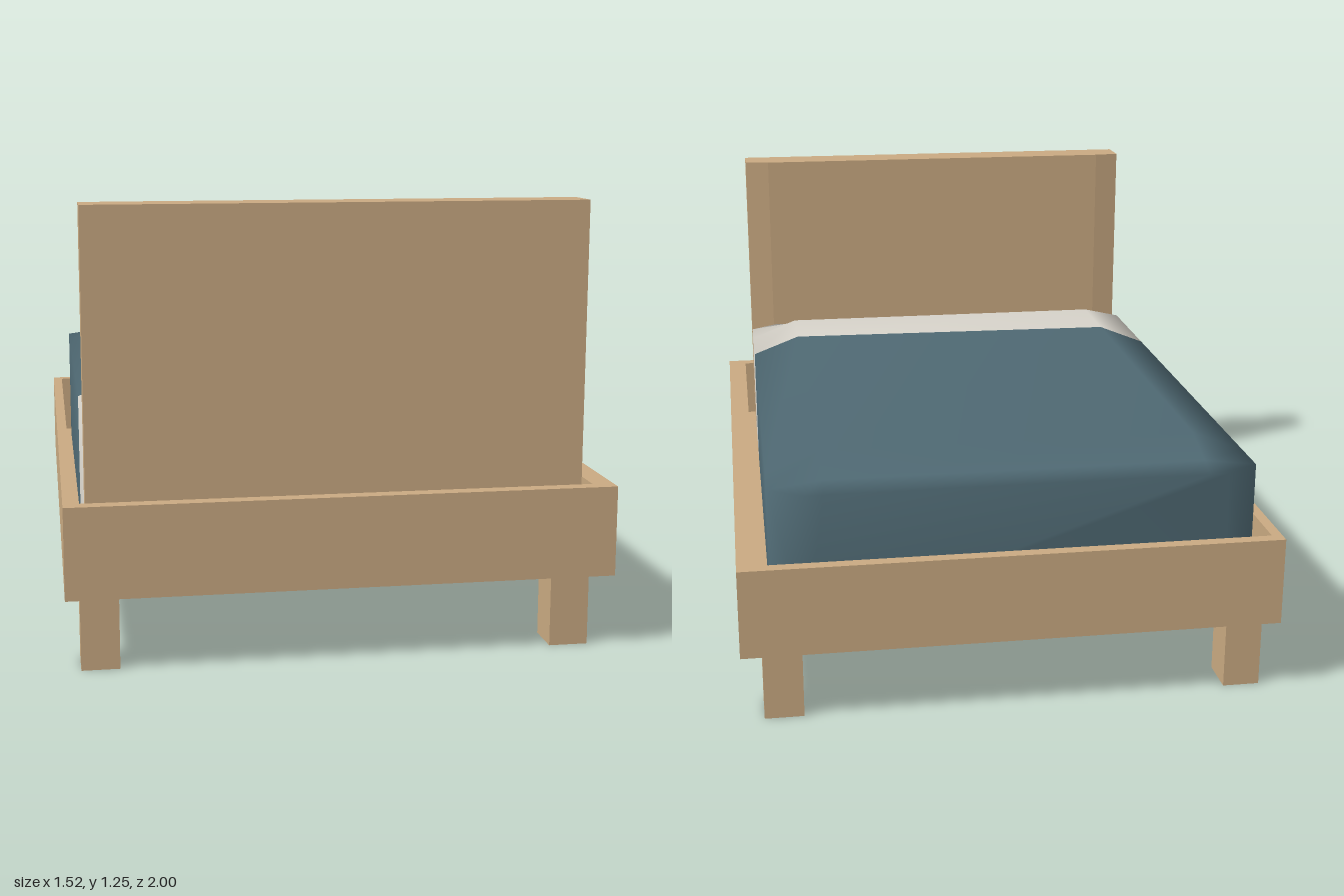
import * as THREE from 'three';

const wood = new THREE.MeshStandardMaterial({ color: 0xcaaa82 });
wood.name = 'wood';
const blanket = new THREE.MeshStandardMaterial({ color: 0x4f6973 });
blanket.name = 'blanket blue';
const sheet = new THREE.MeshStandardMaterial({ color: 0xd8d4cb });
sheet.name = 'sheet white';

// Raise a plan outline of [x, z] points from y0 to y1, with an optional hole
function plan(points, y0, y1, hole) {
  const toVec = ([x, z]) => new THREE.Vector2(x, -z);
  const shape = new THREE.Shape(points.map(toVec));
  if (hole) shape.holes.push(new THREE.Path(hole.map(toVec)));
  const geo = new THREE.ExtrudeGeometry(shape, { depth: y1 - y0, bevelEnabled: false });
  return geo.rotateX(-Math.PI / 2).translate(0, y0, 0);
}

const rect = (x0, x1, z0, z1) => [[x0, z1], [x1, z1], [x1, z0], [x0, z0]];

// Soft bedding from cross-sections along z, split at a slightly slanted seam
function beddingGeometry() {
  const cx = -0.015, shoulder = 0.535, bottom = 0.26;
  // z, half width, shoulder height
  const stations = [
    [-0.945, 0.59, 0.65], [-0.885, 0.685, 0.67], [-0.76, 0.685, 0.71],
    [0.42, 0.685, 0.71],
    [0.65, 0.685, 0.71], [0.77, 0.685, 0.67], [0.83, 0.6, 0.65],
  ];
  const seam = 3;
  const seamZ = [0.445, 0.44, 0.43, 0.4, 0.4, 0.4];
  const pos = [], index = [];
  stations.forEach(([z, w, h], i) => {
    const section = [[w, bottom], [w, 0.65], [shoulder, h], [-shoulder, h], [-w, 0.65], [-w, bottom]];
    section.forEach(([x, y], j) => pos.push(cx + x, y, i === seam ? seamZ[j] : z));
  });
  const n = 6, last = (stations.length - 1) * n;
  let split = 0;
  for (let j = 1; j < n - 1; j++) index.push(0, j + 1, j); // foot end
  for (let i = 0; i < stations.length - 1; i++) {
    if (i === seam) split = index.length;
    for (let j = 0; j < n - 1; j++) {
      const a = i * n + j, b = a + n;
      index.push(a, a + 1, b + 1, a, b + 1, b);
    }
  }
  for (let j = 1; j < n - 1; j++) index.push(last, last + j, last + j + 1); // head end
  const geo = new THREE.BufferGeometry();
  geo.setAttribute('position', new THREE.Float32BufferAttribute(pos, 3));
  geo.setIndex(index);
  geo.addGroup(0, split, 0);
  geo.addGroup(split, index.length - split, 1);
  geo.computeVertexNormals();
  return geo;
}

export function createModel() {
  const bed = new THREE.Group();
  bed.name = 'bed';
  const add = (name, geo, mat) => {
    const mesh = new THREE.Mesh(geo, mat);
    mesh.name = name;
    bed.add(mesh);
  };

  // Frame rails around a recessed base
  add('frame', plan(rect(-0.76, 0.76, -1, 1), 0.21, 0.465, rect(-0.73, 0.7, -0.965, 0.96)), wood);
  add('base', plan(rect(-0.73, 0.7, -0.965, 0.96), 0.21, 0.27), wood);

  // Headboard with a shallow bow on its inner face
  add('headboard', plan([
    [-0.7, 0.955], [0.67, 0.955], [0.67, 0.845], [0.59, 0.835], [-0.62, 0.835], [-0.7, 0.845],
  ], 0.27, 1.252), wood);

  // Legs
  for (const [x0, x1] of [[-0.72, -0.615], [0.59, 0.7]]) {
    for (const [z0, z1] of [[-0.955, -0.84], [0.845, 0.955]]) {
      add('leg', plan(rect(x0, x1, z0, z1), 0, 0.21), wood);
    }
  }

  add('bedding', beddingGeometry(), [blanket, sheet]);
  return bed;
}
